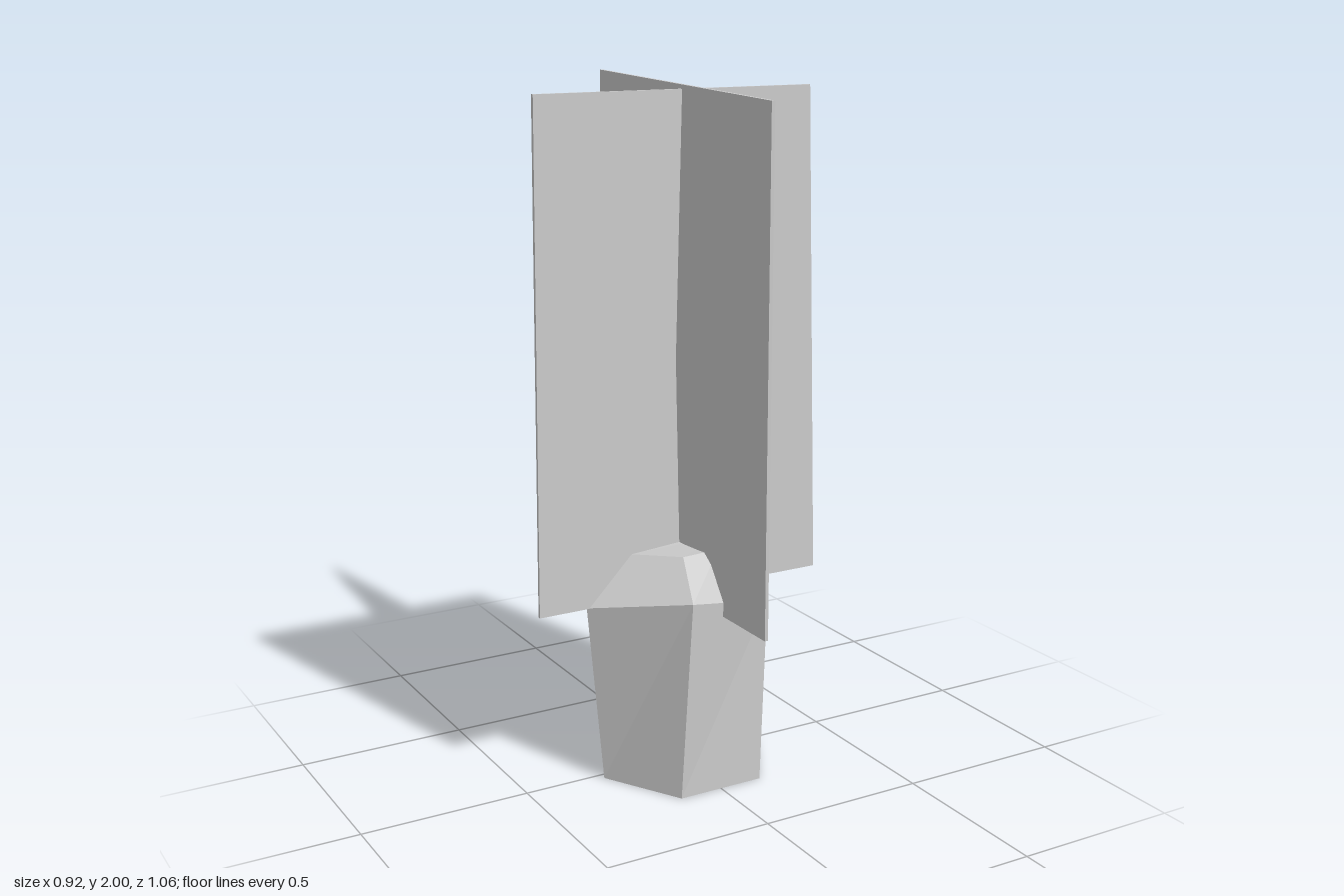
import * as THREE from 'three';

// Joins rings of points (anticlockwise seen from above) into a closed, faceted solid.
function loft(rings) {
  const n = rings[0].length;
  const pos = [];
  const tri = (a, b, c) => pos.push(...a, ...b, ...c);
  for (let r = 0; r < rings.length - 1; r++) {
    const lo = rings[r], hi = rings[r + 1];
    for (let i = 0; i < n; i++) {
      const j = (i + 1) % n;
      tri(lo[i], lo[j], hi[j]);
      tri(lo[i], hi[j], hi[i]);
    }
  }
  const bottom = rings[0], top = rings[rings.length - 1];
  for (let i = 1; i < n - 1; i++) {
    tri(bottom[0], bottom[i + 1], bottom[i]);
    tri(top[0], top[i], top[i + 1]);
  }
  const geo = new THREE.BufferGeometry();
  geo.setAttribute('position', new THREE.Float32BufferAttribute(pos, 3));
  geo.computeVertexNormals();
  return geo;
}

export function createModel() {
  const group = new THREE.Group();
  const grey = new THREE.MeshStandardMaterial({ color: 0xcccccc, flatShading: true });
  grey.name = 'pale grey';

  const add = (name, rings) => {
    const mesh = new THREE.Mesh(loft(rings), grey);
    mesh.name = name;
    group.add(mesh);
  };

  // Stem: regular hexagonal foot, uneven shoulder and a small uneven crown
  const foot = [];
  for (let i = 0; i < 6; i++) {
    const a = (i * Math.PI) / 3;
    foot.push([0.262 * Math.cos(a), 0, 0.023 - 0.262 * Math.sin(a)]);
  }
  const shoulder = [
    [0.27, 0.54, 0.035], [0.115, 0.615, -0.185], [-0.115, 0.54, -0.23],
    [-0.31, 0.535, 0.02], [-0.115, 0.595, 0.285], [0.15, 0.55, 0.25],
  ];
  const crown = [
    [0.095, 0.695, 0.06], [0.05, 0.695, -0.04], [-0.09, 0.68, -0.08],
    [-0.17, 0.675, 0.025], [-0.075, 0.69, 0.16], [0.03, 0.7, 0.175],
  ];
  add('stem', [foot, shoulder, crown]);

  // Wide upright blade, slightly tapered
  const wide = (y, x0, x1, z0, z1) => [[x1, y, z1], [x1, y, z0], [x0, y, z0], [x0, y, z1]];
  add('wideBlade', [
    wide(0.535, -0.46, 0.458, 0.018, 0.027),
    wide(1.975, -0.45, 0.412, 0.019, 0.03),
  ]);

  // Deep upright blade, flaring and twisting towards the top
  const t = 0.005;
  const deep = (front, back) => [
    [front[0] + t, front[1], front[2]], [back[0] + t, back[1], back[2]],
    [back[0] - t, back[1], back[2]], [front[0] - t, front[1], front[2]],
  ];
  add('deepBlade', [
    deep([-0.003, 0.535, 0.485], [-0.004, 0.535, -0.442]),
    deep([-0.034, 1.975, 0.532], [0.039, 2, -0.53]),
  ]);

  return group;
}
